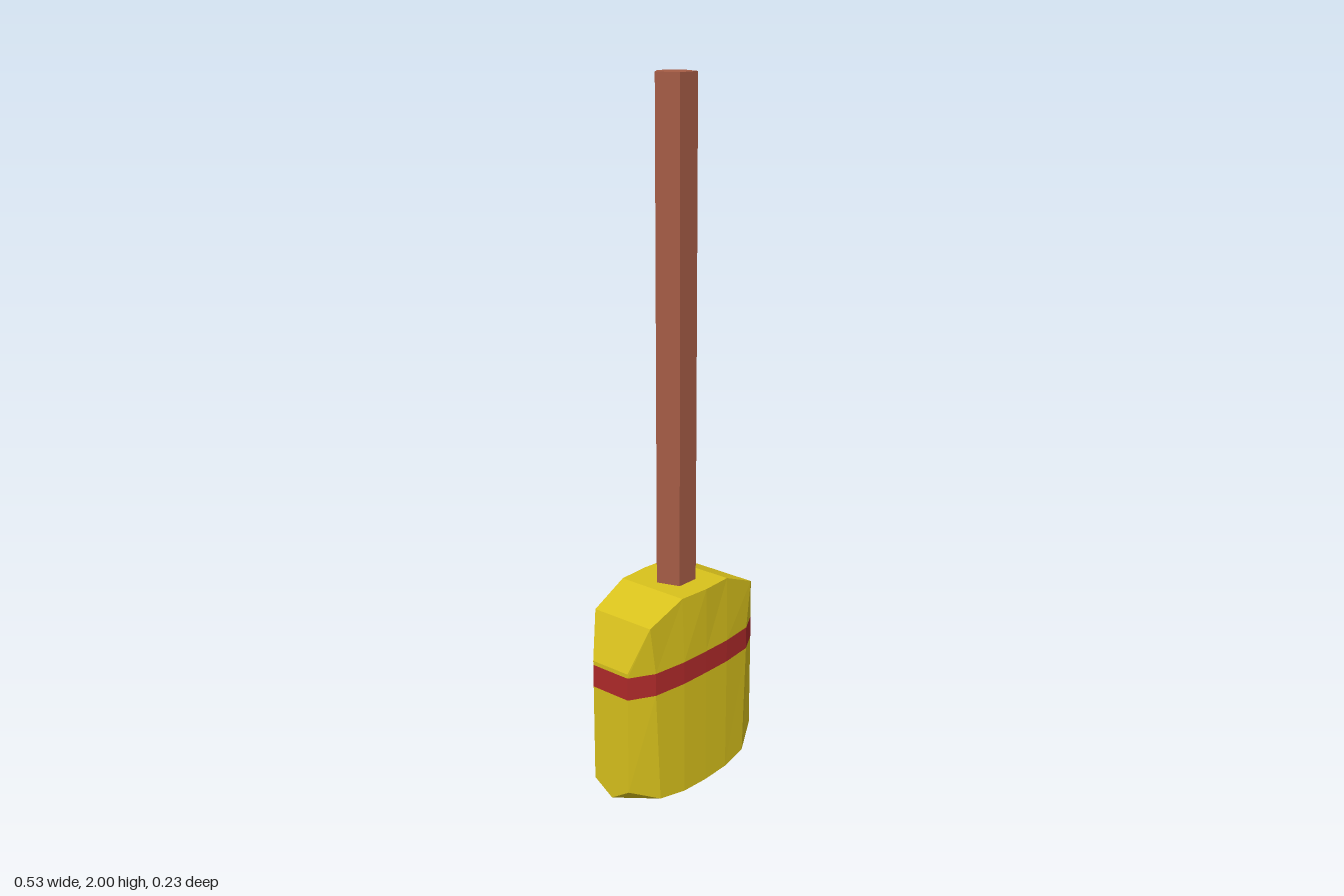
import * as THREE from 'three';

const material = (color) => new THREE.MeshStandardMaterial({ color, flatShading: true });

// Mirrors half a row of [x, y, z] stations (centre to side) into a closed ring,
// front side left to right, then back side right to left.
function ring(half) {
  const left = half.slice(1).reverse().map(([x, y, z]) => [-x, y, z]);
  const front = [...left, ...half];
  return [...front, ...front.slice().reverse().map(([x, y, z]) => [x, y, -z])];
}

// Walls between successive rings, with an optional cap over the last one.
function loft(rings, capped = false) {
  const pos = [];
  const quad = (a, b, c, d) => pos.push(...a, ...b, ...c, ...a, ...c, ...d);
  for (let r = 0; r < rings.length - 1; r++) {
    const lo = rings[r], hi = rings[r + 1], n = lo.length;
    for (let i = 0; i < n; i++) quad(lo[i], lo[(i + 1) % n], hi[(i + 1) % n], hi[i]);
  }
  if (capped) {
    const top = rings[rings.length - 1], n = top.length;
    for (let i = 0; i < n / 2 - 1; i++) quad(top[i], top[i + 1], top[n - 2 - i], top[n - 1 - i]);
  }
  const geometry = new THREE.BufferGeometry();
  geometry.setAttribute('position', new THREE.Float32BufferAttribute(pos, 3));
  geometry.computeVertexNormals();
  return geometry;
}

export function createModel() {
  const group = new THREE.Group();
  const add = (name, geometry, mat) => {
    const mesh = new THREE.Mesh(geometry, mat);
    mesh.name = name;
    group.add(mesh);
    return mesh;
  };
  const straw = material(0xd9c21c);

  // Outline levels of the broom head, from the bottom ridge up
  const level = (y) => ring([[0, y, 0.115], [0.092, y, 0.114], [0.195, y, 0.102], [0.265, y, 0.063]]);
  const ridge = ring([[0, 0, 0], [0.09, 0.008, 0], [0.18, 0.024, 0], [0.265, 0.063, 0]]);
  const rim = ring([[0, 0.047, 0.115], [0.09, 0.05, 0.114], [0.18, 0.062, 0.104], [0.265, 0.103, 0.063]]);
  const shoulder = ring([[0, 0.635, 0.115], [0.095, 0.635, 0.109], [0.215, 0.585, 0.1], [0.265, 0.46, 0.063]]);

  add('lowerBristles', loft([ridge, rim, level(0.383)]), straw);
  add('binding', loft([level(0.383), level(0.448)]), material(0xb02a2a));
  add('upperBristles', loft([level(0.448), shoulder], true), straw);

  // Five-sided handle with one edge to the back
  const handle = add('handle', new THREE.CylinderGeometry(0.058, 0.058, 1.4, 5), material(0xa55c45));
  handle.rotation.y = Math.PI;
  handle.position.y = 1.3;

  return group;
}
